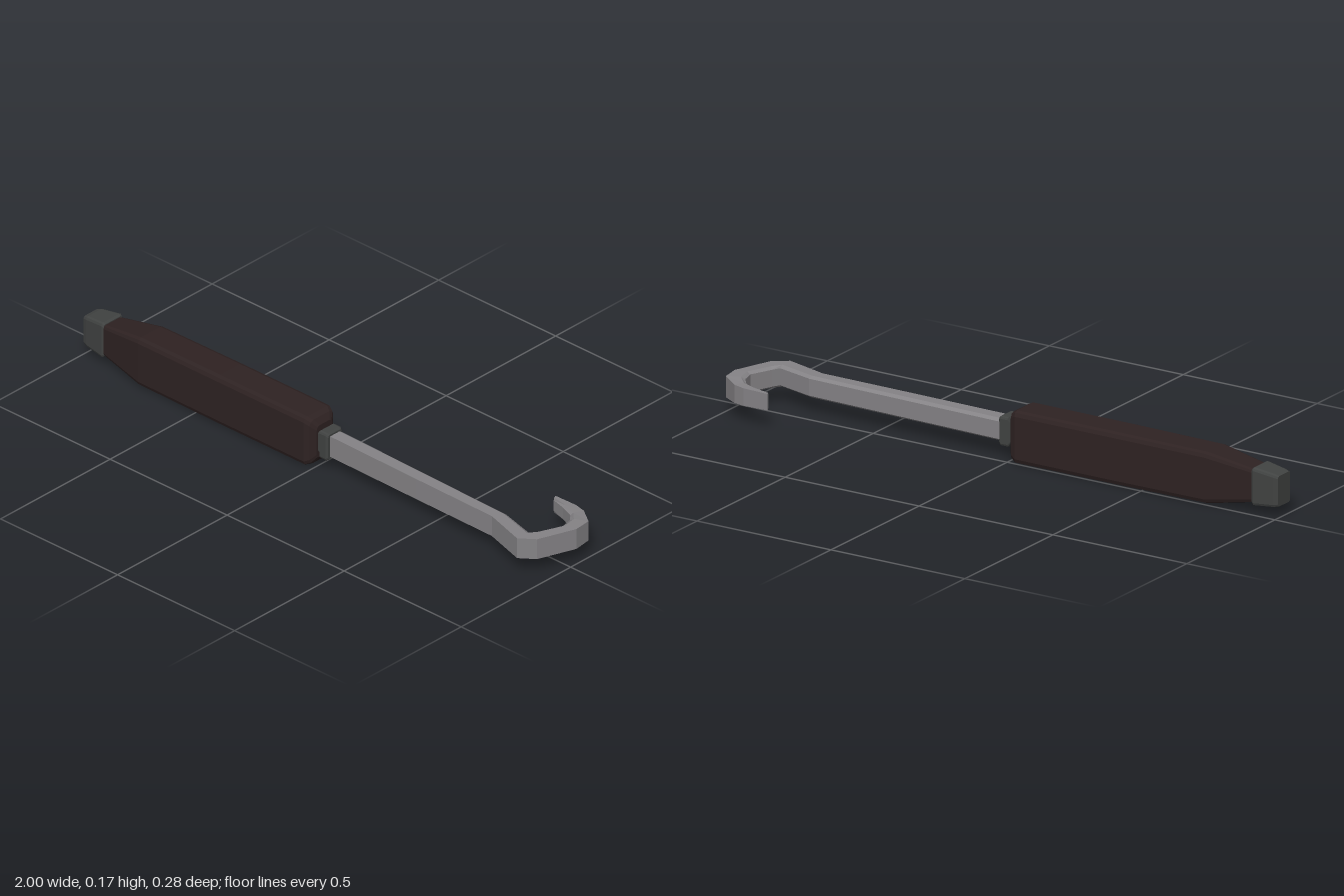
import * as THREE from 'three';

const paint = (name, color) => {
  const m = new THREE.MeshStandardMaterial({ color });
  m.name = name;
  return m;
};

// Skins a list of equal-length rings into a closed, hard-edged solid.
function loft(rings) {
  const out = [];
  const tri = (...pts) => pts.forEach((p) => out.push(...p));
  const n = rings[0].length;
  for (let r = 0; r < rings.length - 1; r++) {
    const a = rings[r], b = rings[r + 1];
    for (let i = 0; i < n; i++) {
      const j = (i + 1) % n;
      tri(a[i], a[j], b[i]);
      tri(b[i], a[j], b[j]);
    }
  }
  const first = rings[0], last = rings[rings.length - 1];
  for (let i = 1; i < n - 1; i++) {
    tri(first[0], first[i + 1], first[i]);
    tri(last[0], last[i], last[i + 1]);
  }
  const g = new THREE.BufferGeometry();
  g.setAttribute('position', new THREE.Float32BufferAttribute(out, 3));
  g.computeVertexNormals();
  return g;
}

// Rounded rectangle across the x axis; h and d are half sizes, c the corner radius.
function section([x, y, z, h, d, c]) {
  const ring = [];
  const corners = [[-1, 1], [1, 1], [1, -1], [-1, -1]];
  corners.forEach(([sz, sy], k) => {
    for (let s = 0; s <= 2; s++) {
      const a = Math.PI - (k * 2 + s) * Math.PI / 4;
      ring.push([x, y + sy * (h - c) + c * Math.sin(a), z + sz * (d - c) + c * Math.cos(a)]);
    }
  });
  // reversed so the ring runs counter-clockwise seen from +x
  return ring.reverse().map((p) => p).reverse();
}

// Blade cross-section between an inner and an outer point, bevelled on the inner edges.
function bladeSection([ix, iz, ox, oz, h]) {
  const y = 0.089, bevel = 0.008, t = 0.22;
  const mx = ix + (ox - ix) * t, mz = iz + (oz - iz) * t;
  return [
    [ix, y - h + bevel, iz], [ix, y + h - bevel, iz], [mx, y + h, mz],
    [ox, y + h, oz], [ox, y - h, oz], [mx, y - h, mz],
  ];
}

export function createModel() {
  const group = new THREE.Group();
  const grip = paint('dark brown grip', 0x2e2222);
  const fitting = paint('dark grey fitting', 0x414342);
  const steel = paint('steel', 0x858386);
  const add = (name, rings, material) => {
    const mesh = new THREE.Mesh(loft(rings), material);
    mesh.name = name;
    group.add(mesh);
  };

  // Grip: tapered towards the butt, rounded off at the front
  add('handle', [
    [-0.92, 0.09, 0.055, 0.052, 0.04, 0.01],
    [-0.9, 0.09, 0.055, 0.056, 0.043, 0.011],
    [-0.74, 0.088, 0.057, 0.085, 0.06, 0.016],
    [-0.4, 0.088, 0.057, 0.087, 0.062, 0.017],
    [-0.03, 0.088, 0.057, 0.087, 0.062, 0.017],
    [-0.012, 0.088, 0.057, 0.078, 0.054, 0.017],
    [0.002, 0.088, 0.057, 0.058, 0.036, 0.014],
  ].map(section), grip);

  // Butt cap
  add('endCap', [
    [-1, 0.088, 0.052, 0.05, 0.035, 0.008],
    [-0.985, 0.088, 0.052, 0.055, 0.039, 0.01],
    [-0.912, 0.09, 0.054, 0.063, 0.046, 0.01],
    [-0.905, 0.09, 0.054, 0.058, 0.043, 0.01],
  ].map(section), fitting);

  // Collar with a narrow neck behind it
  add('collar', [
    [-0.005, 0.088, 0.06, 0.036, 0.026, 0.006],
    [0.01, 0.088, 0.06, 0.038, 0.027, 0.006],
    [0.016, 0.088, 0.061, 0.049, 0.035, 0.008],
    [0.043, 0.088, 0.061, 0.049, 0.035, 0.008],
    [0.05, 0.088, 0.061, 0.044, 0.031, 0.008],
  ].map(section), fitting);

  // Shaft and hook: inner x, inner z, outer x, outer z, half height
  add('hookedBlade', [
    [0.04, 0.028, 0.04, 0.083, 0.037],
    [0.42, 0.037, 0.42, 0.089, 0.0365],
    [0.77, 0.046, 0.75, 0.093, 0.036],
    [0.9, 0.08, 0.9, 0.138, 0.036],
    [0.913, 0.053, 0.95, 0.1, 0.036],
    [0.945, -0.02, 0.997, -0.03, 0.036],
    [0.935, -0.065, 0.99, -0.092, 0.035],
    [0.91, -0.095, 0.93, -0.135, 0.03],
    [0.86, -0.115, 0.888, -0.145, 0.029],
    [0.805, -0.131, 0.8, -0.145, 0.027],
  ].map(bladeSection), steel);

  return group;
}
